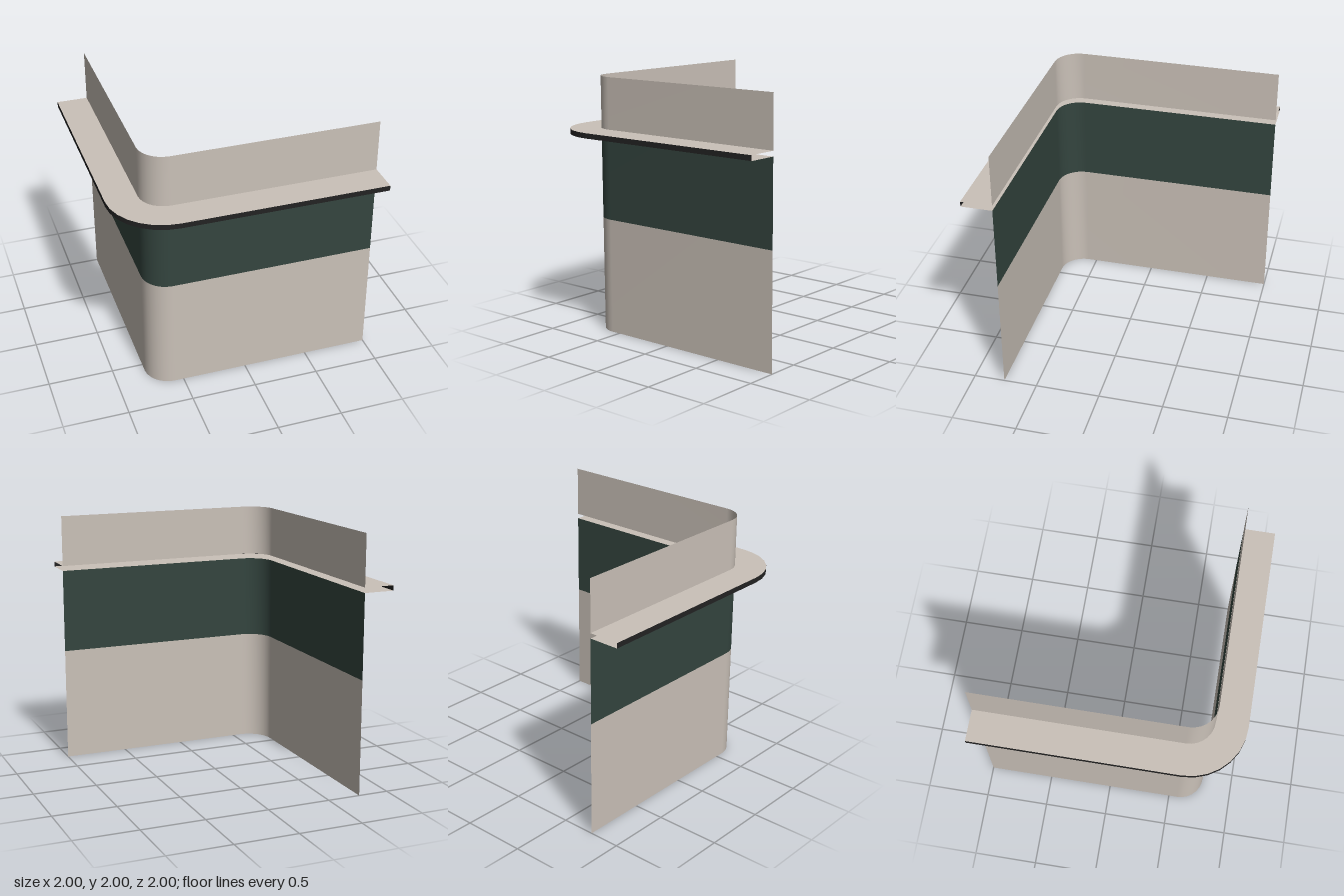
import * as THREE from 'three';

const CENTRE = 0.57; // bend centre is (-CENTRE, CENTRE)
const WALL = 0.76, EDGE = 1;

// Plan line [x, z] of the L: straight, rounded corner, straight
function plan(offset, segments = 7) {
  const r = offset - CENTRE;
  const points = [[-offset, -1]];
  for (let i = 0; i <= segments; i++) {
    const a = (i / segments) * Math.PI / 2;
    points.push([-CENTRE - r * Math.cos(a), CENTRE + r * Math.sin(a)]);
  }
  points.push([1, offset]);
  return points;
}

// Open sheet joining two plan lines at their heights
function sheet(name, material, fromOffset, fromY, toOffset, toY) {
  const a = plan(fromOffset), b = plan(toOffset);
  const positions = [], index = [];
  a.forEach(([x, z], i) => {
    positions.push(x, fromY, z, b[i][0], toY, b[i][1]);
    if (i > 0) {
      const k = 2 * (i - 1);
      index.push(k, k + 2, k + 3, k, k + 3, k + 1);
    }
  });
  const geometry = new THREE.BufferGeometry();
  geometry.setAttribute('position', new THREE.Float32BufferAttribute(positions, 3));
  geometry.setIndex(index);
  geometry.computeVertexNormals();
  const mesh = new THREE.Mesh(geometry, material);
  mesh.name = name;
  return mesh;
}

function flat(name, color) {
  const material = new THREE.MeshStandardMaterial({ color, side: THREE.DoubleSide });
  material.name = name;
  return material;
}

export function createModel() {
  const beige = flat('beige plaster', 0xcac1b8);
  const green = flat('dark green', 0x34453f);
  const black = flat('black trim', 0x232323);

  const model = new THREE.Group();
  model.name = 'cornerWall';

  // Wall bands; the wall is open where the ledge meets it
  model.add(
    sheet('lowerWall', beige, WALL, 0, WALL, 0.9),
    sheet('greenBand', green, WALL, 0.9, WALL, 1.56),
    sheet('upperWall', beige, WALL, 1.6, WALL, 2),
  );

  // Hollow ledge around the outside, open at its ends
  const ledge = new THREE.Group();
  ledge.name = 'ledge';
  ledge.add(
    sheet('ledgeTop', beige, EDGE, 1.6, WALL, 1.6),
    sheet('ledgeEdge', black, EDGE, 1.56, EDGE, 1.6),
    sheet('ledgeUnderside', beige, WALL, 1.56, EDGE, 1.56),
  );
  model.add(ledge);
  return model;
}
